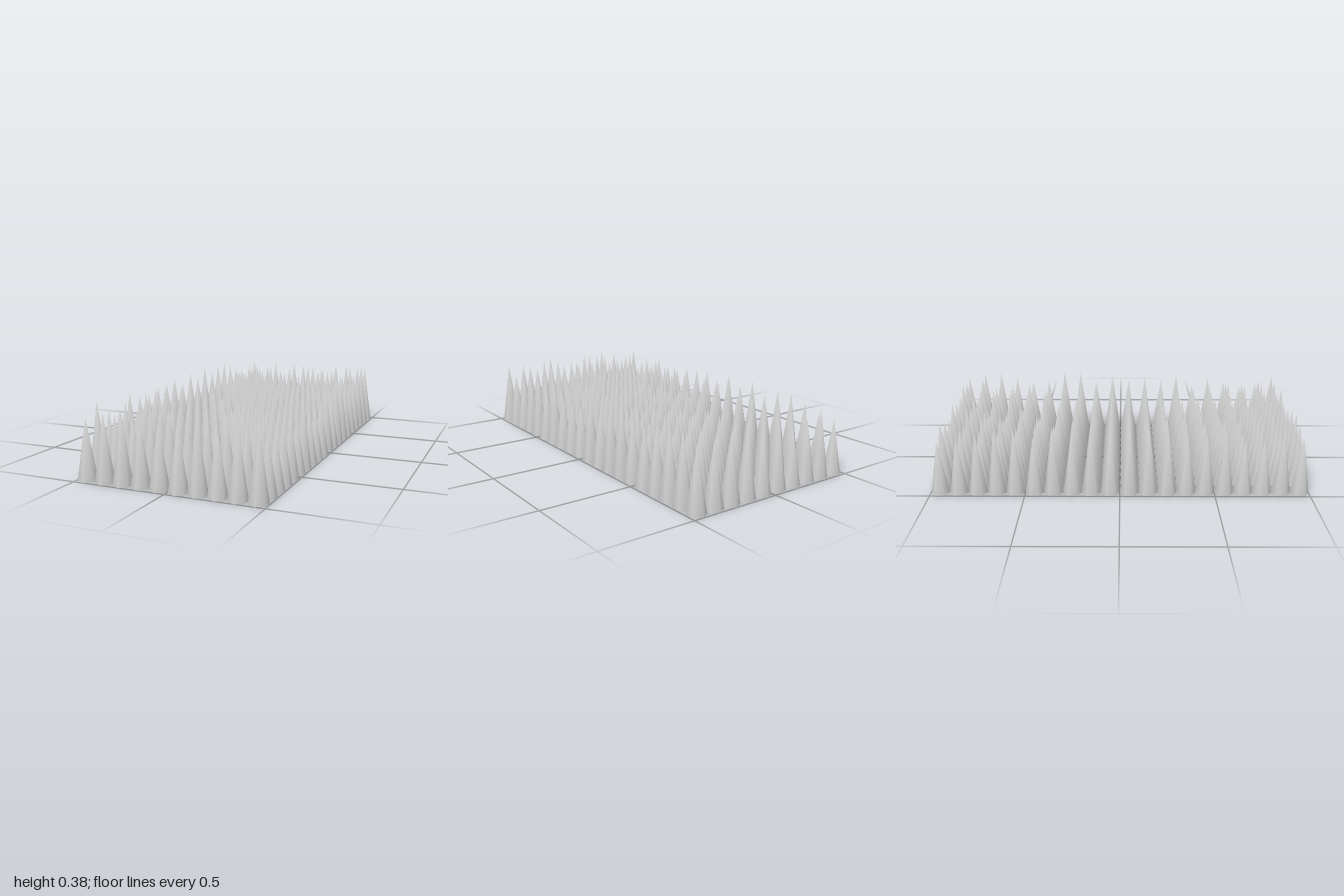
import * as THREE from 'three';
import { mergeVertices } from 'three/addons/utils/BufferGeometryUtils.js';

const COLS = 10, ROWS = 20, PITCH = 0.1;
const MIN_HEIGHT = 0.285, MAX_HEIGHT = 0.383;

// Small seeded generator for the spike heights
function seeded(seed) {
  return () => {
    seed = (seed * 16807) % 2147483647;
    return seed / 2147483647;
  };
}

// Unit-high hollow six-sided spike, open below, corners pointing along z.
// Its corners are welded so the shading runs smoothly up to a shared tip.
function createSpikeGeometry() {
  const cone = new THREE.ConeGeometry(PITCH / 2, 1, 6, 1, true);
  cone.translate(0, 0.5, 0);
  cone.deleteAttribute('normal');
  cone.deleteAttribute('uv');
  const welded = mergeVertices(cone);
  welded.computeVertexNormals();
  return welded;
}

export function createModel() {
  const model = new THREE.Group();
  model.name = 'spikeField';
  const material = new THREE.MeshStandardMaterial({ color: 0xcccccc, side: THREE.DoubleSide });
  const spikeGeometry = createSpikeGeometry();
  const random = seeded(4217);

  // Grid of spikes, touching along z, each with its own height
  for (let row = 0; row < ROWS; row++) {
    const spikeRow = new THREE.Group();
    spikeRow.name = `spikeRow${row + 1}`;
    spikeRow.position.z = (row - (ROWS - 1) / 2) * PITCH;
    for (let col = 0; col < COLS; col++) {
      const spike = new THREE.Mesh(spikeGeometry, material);
      spike.name = 'spike';
      spike.position.x = (col - (COLS - 1) / 2) * PITCH;
      spike.scale.y = THREE.MathUtils.lerp(MIN_HEIGHT, MAX_HEIGHT, random());
      spikeRow.add(spike);
    }
    model.add(spikeRow);
  }
  return model;
}
